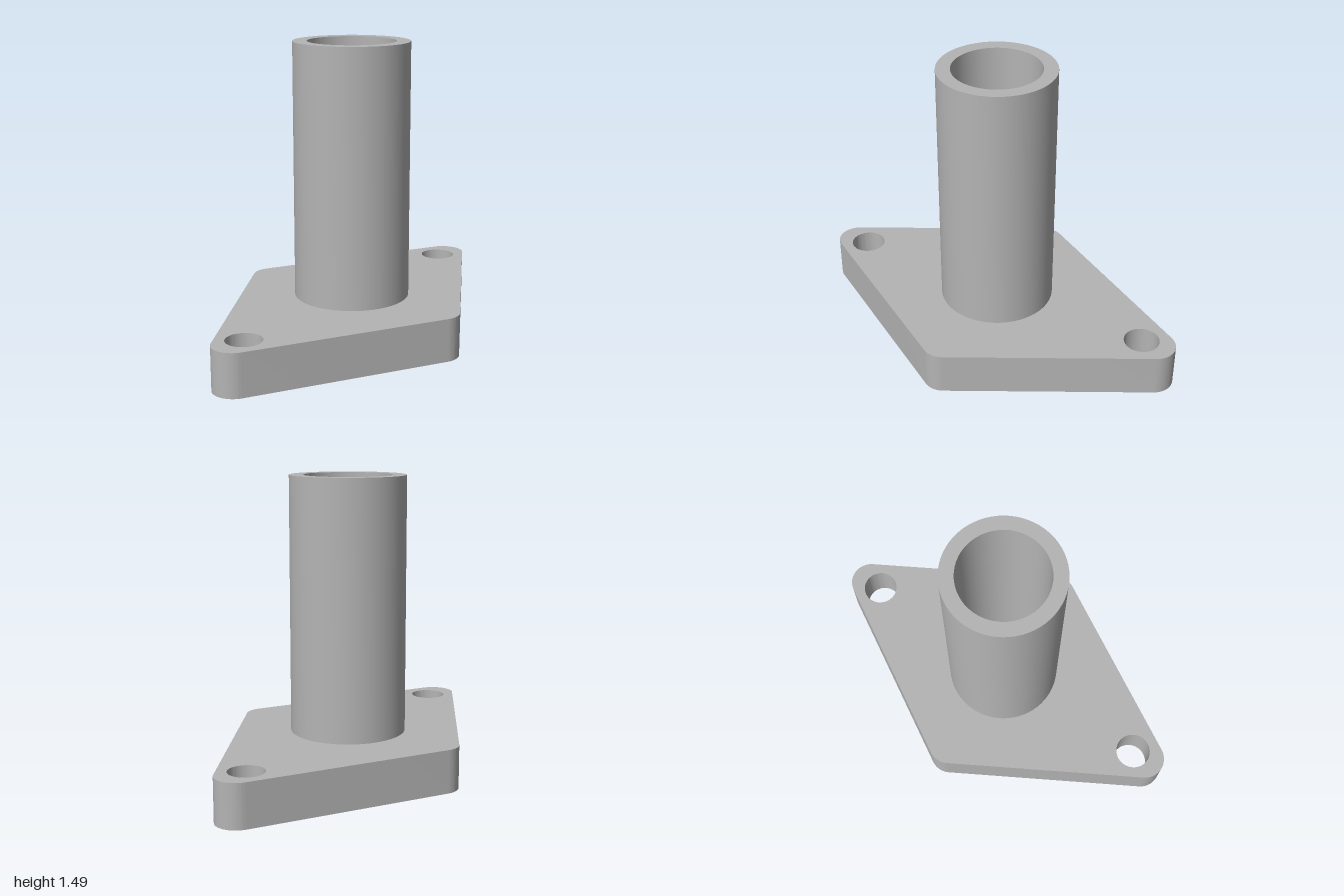
import * as THREE from 'three';
import { toCreasedNormals } from 'three/addons/utils/BufferGeometryUtils.js';

const FLANGE_HEIGHT = 0.216;
const TOTAL_HEIGHT = 1.49;
const BORE_RADIUS = 0.217;
const TUBE_RADIUS = 0.287;

const addHole = (shape, x, radius) =>
  shape.holes.push(new THREE.Path().absarc(x, 0, radius, 0, Math.PI * 2, true));

// Extrude a plan outline upward, smooth around curves and sharp at rims
function extrudeUp(shape, height, y, curveSegments) {
  const geometry = new THREE.ExtrudeGeometry(shape, { depth: height, bevelEnabled: false, curveSegments });
  geometry.rotateX(-Math.PI / 2);
  geometry.translate(0, y, 0);
  return toCreasedNormals(geometry, 0.45);
}

// Rhombus outline with four rounded corners
function flangeShape() {
  const r = 0.105, cx = 1 - r, cy = 0.62 - r;
  const a = Math.atan2(cx, cy); // direction of the slanted side's normal
  const shape = new THREE.Shape();
  shape.absarc(cx, 0, r, -a, a, false);
  shape.absarc(0, cy, r, a, Math.PI - a, false);
  shape.absarc(-cx, 0, r, Math.PI - a, Math.PI + a, false);
  shape.absarc(0, -cy, r, Math.PI + a, 2 * Math.PI - a, false);
  shape.closePath();
  return shape;
}

export function createModel() {
  const group = new THREE.Group();
  group.name = 'flangedTube';
  const metal = new THREE.MeshStandardMaterial({ color: 0xb4b4b4 });
  metal.name = 'grey metal';

  // Base flange with central bore and two bolt holes
  const plate = flangeShape();
  addHole(plate, 0, BORE_RADIUS);
  for (const side of [-1, 1]) addHole(plate, side * 0.827, 0.088);
  const flange = new THREE.Mesh(extrudeUp(plate, FLANGE_HEIGHT, 0, 32), metal);
  flange.name = 'flange';

  // Upright hollow tube
  const ring = new THREE.Shape().absarc(0, 0, TUBE_RADIUS, 0, Math.PI * 2, false);
  addHole(ring, 0, BORE_RADIUS);
  const tube = new THREE.Mesh(extrudeUp(ring, TOTAL_HEIGHT - FLANGE_HEIGHT, FLANGE_HEIGHT, 32), metal);
  tube.name = 'tube';

  group.add(flange, tube);
  return group;
}
